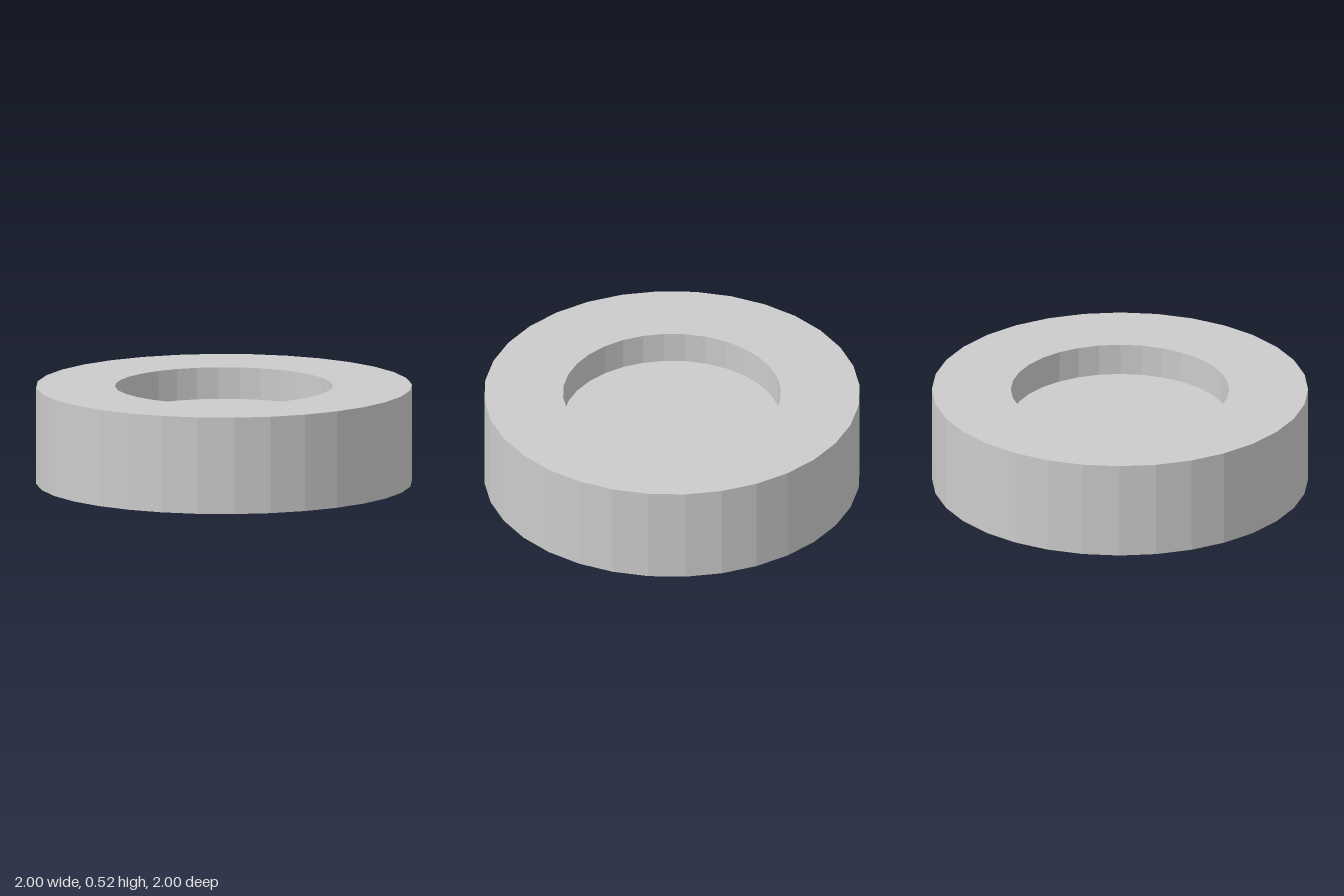
import * as THREE from 'three';

const material = new THREE.MeshStandardMaterial({ color: 0xcccccc, flatShading: true });
const SIDES = 32;
const HEIGHT = 0.52;
const RIM_RADIUS = 0.58;
const PLATE_Y = 0.35;
const SPOKES = 16;

function addMesh(parent, name, geometry) {
  const mesh = new THREE.Mesh(geometry, material);
  mesh.name = name;
  parent.add(mesh);
  return mesh;
}

// Closed ring with a square section
function tyreGeometry() {
  const profile = [
    [RIM_RADIUS, 0], [1, 0], [1, HEIGHT], [RIM_RADIUS, HEIGHT], [RIM_RADIUS, 0],
  ].map(([r, y]) => new THREE.Vector2(r, y));
  return new THREE.LatheGeometry(profile, SIDES);
}

// Bar along +x that widens and deepens from the hub to the rim
function spokeGeometry() {
  const inner = { r: 0.14, halfWidth: 0.027, bottom: 0.25 };
  const outer = { r: 0.574, halfWidth: 0.056, bottom: 0.173 };
  const geometry = new THREE.BoxGeometry(1, 1, 1);
  const p = geometry.attributes.position;
  for (let i = 0; i < p.count; i++) {
    const end = p.getX(i) > 0 ? outer : inner;
    p.setXYZ(
      i,
      end.r,
      p.getY(i) > 0 ? PLATE_Y - 0.005 : end.bottom,
      Math.sign(p.getZ(i)) * end.halfWidth,
    );
  }
  geometry.computeVertexNormals();
  return geometry;
}

export function createModel() {
  const wheel = new THREE.Group();
  wheel.name = 'wheel';

  addMesh(wheel, 'tyre', tyreGeometry());

  // Recessed plate closing the upper side
  const plate = new THREE.CylinderGeometry(RIM_RADIUS, RIM_RADIUS, 0.01, SIDES);
  addMesh(wheel, 'plate', plate).position.y = PLATE_Y - 0.005;

  // Spokes under the plate
  const spokes = new THREE.Group();
  spokes.name = 'spokes';
  wheel.add(spokes);
  const spoke = spokeGeometry();
  for (let i = 0; i < SPOKES; i++) {
    addMesh(spokes, 'spoke', spoke).rotation.y = (i / SPOKES) * Math.PI * 2;
  }

  // Hub with a tapered lower end
  const hubProfile = [[0, 0.186], [0.1, 0.186], [0.167, 0.247], [0.167, PLATE_Y - 0.005]]
    .map(([r, y]) => new THREE.Vector2(r, y));
  addMesh(wheel, 'hub', new THREE.LatheGeometry(hubProfile, SIDES));

  return wheel;
}
